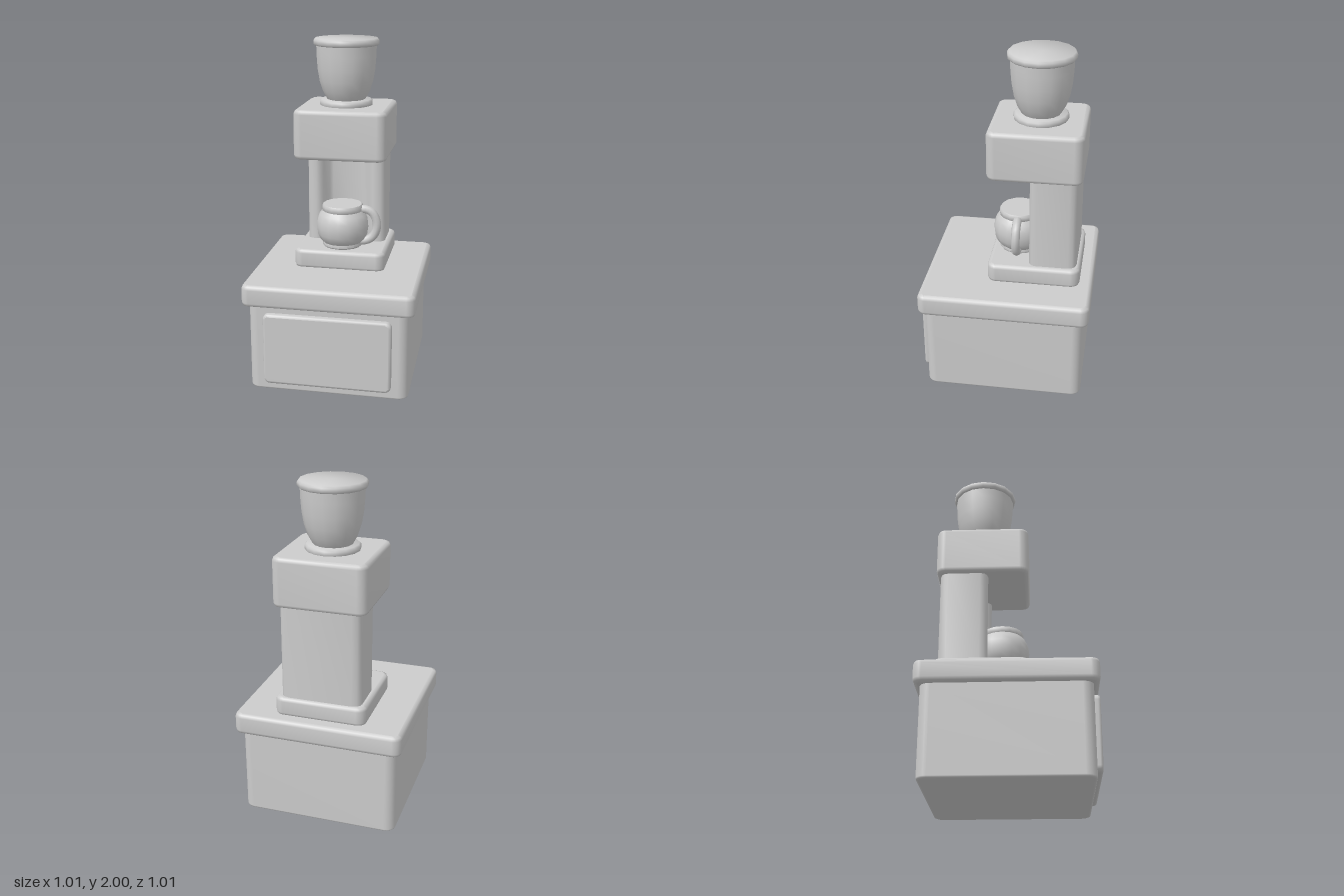
import * as THREE from 'three';
import { mergeVertices, toCreasedNormals } from 'three/addons/utils/BufferGeometryUtils.js';

const material = new THREE.MeshStandardMaterial({ color: 0xcccccc });

function part(name, geometry, x = 0, y = 0, z = 0) {
  const mesh = new THREE.Mesh(geometry, material);
  mesh.name = name;
  mesh.position.set(x, y, z);
  return mesh;
}

// Rectangle with rounded corners, centred on the origin
function roundedRect(w, h, r) {
  const s = new THREE.Shape();
  const a = w / 2 - r, b = h / 2 - r;
  s.absarc(a, b, r, 0, Math.PI / 2);
  s.absarc(-a, b, r, Math.PI / 2, Math.PI);
  s.absarc(-a, -b, r, Math.PI, Math.PI * 1.5);
  s.absarc(a, -b, r, Math.PI * 1.5, Math.PI * 2);
  s.closePath();
  return s;
}

// Bevelled slab along z from 0 to depth, with soft shared normals
function slab(w, h, depth, r, bevel) {
  let g = new THREE.ExtrudeGeometry(roundedRect(w, h, r), {
    depth: depth - 2 * bevel, bevelEnabled: true, bevelThickness: bevel,
    bevelSize: bevel, bevelOffset: -bevel, bevelSegments: 2, curveSegments: 3,
  });
  g.translate(0, 0, bevel);
  g.deleteAttribute('normal');
  g.deleteAttribute('uv');
  g = mergeVertices(g, 1e-4);
  g.computeVertexNormals();
  return g;
}

// The same slab lying flat, rising from y = 0
const flatSlab = (w, d, height, r, bevel) => slab(w, d, height, r, bevel).rotateX(-Math.PI / 2);

// Turned part from [radius, height] pairs, bottom to top
const turned = (points, sides) => toCreasedNormals(
  new THREE.LatheGeometry(points.map(([r, y]) => new THREE.Vector2(r, y)), sides), 0.9);

// Column plan: half outline mirrored, with a channel down the front (y here is -z)
function columnGeometry() {
  const half = [
    [0.095, 0.215], [0.115, 0.2], [0.145, 0.145], [0.165, 0.125], [0.185, 0.12],
    [0.215, 0.125], [0.235, 0.14], [0.242, 0.165],
    [0.242, 0.355], [0.235, 0.38], [0.22, 0.395], [0.19, 0.405],
  ];
  const mirrored = half.map(([x, y]) => [-x, y]).reverse();
  const shape = new THREE.Shape([...half, ...mirrored].map(([x, y]) => new THREE.Vector2(x, y)));
  const g = new THREE.ExtrudeGeometry(shape, { depth: 0.59, bevelEnabled: false });
  return toCreasedNormals(g.rotateX(-Math.PI / 2), 1.2);
}

export function createModel() {
  const model = new THREE.Group();
  model.name = 'coffeeStation';

  // Cabinet with door and counter
  model.add(part('cabinet', flatSlab(0.94, 0.94, 0.54, 0.06, 0.012)));
  model.add(part('cabinetDoor', slab(0.75, 0.435, 0.075, 0.035, 0.015), 0, 0.2675, 0.43));
  model.add(part('counter', flatSlab(1.01, 1.01, 0.13, 0.05, 0.025), 0, 0.52, 0));

  // Machine body
  const machine = new THREE.Group();
  machine.name = 'coffeeMachine';
  machine.add(part('machineBase', flatSlab(0.552, 0.552, 0.115, 0.055, 0.022), 0, 0.642, -0.152));
  machine.add(part('column', columnGeometry(), 0, 0.74, 0));
  machine.add(part('machineHead', flatSlab(0.552, 0.552, 0.293, 0.055, 0.025), 0, 1.312, -0.152));
  model.add(machine);

  // Bean hopper on top
  const hopper = new THREE.Group();
  hopper.name = 'hopper';
  hopper.position.set(-0.004, 0, -0.159);
  hopper.add(part('hopperCollar', turned([
    [0, 1.59], [0.155, 1.6], [0.16, 1.61], [0.16, 1.63], [0.15, 1.64], [0, 1.64]], 16)));
  hopper.add(part('hopperBowl', turned([
    [0.1, 1.62], [0.118, 1.645], [0.143, 1.69], [0.162, 1.75], [0.174, 1.82],
    [0.18, 1.9], [0.182, 1.97]], 16)));
  hopper.add(part('hopperLid', turned([
    [0.17, 1.955], [0.188, 1.958], [0.197, 1.967], [0.197, 1.988], [0.187, 2], [0, 2]], 16)));
  model.add(hopper);

  // Coffee pot standing in front of the channel
  const pot = new THREE.Group();
  pot.name = 'coffeePot';
  pot.position.set(-0.004, 0, -0.04);
  pot.add(part('potBody', turned([
    [0, 0.75], [0.115, 0.755], [0.123, 0.765], [0.12, 0.782], [0.138, 0.8], [0.153, 0.835],
    [0.159, 0.88], [0.155, 0.92], [0.142, 0.955], [0.122, 0.98]], 16)));
  pot.add(part('potLid', turned([
    [0.115, 0.972], [0.124, 0.98], [0.125, 1.005], [0.118, 1.017], [0, 1.017]], 16)));
  const grip = new THREE.CatmullRomCurve3([
    [0.09, 0.982], [0.14, 0.987], [0.185, 0.965], [0.21, 0.91],
    [0.208, 0.86], [0.185, 0.815], [0.145, 0.79], [0.1, 0.785],
  ].map(([x, y]) => new THREE.Vector3(x, y, 0)));
  pot.add(part('potHandle', new THREE.TubeGeometry(grip, 20, 0.026, 8)));
  model.add(pot);

  return model;
}
